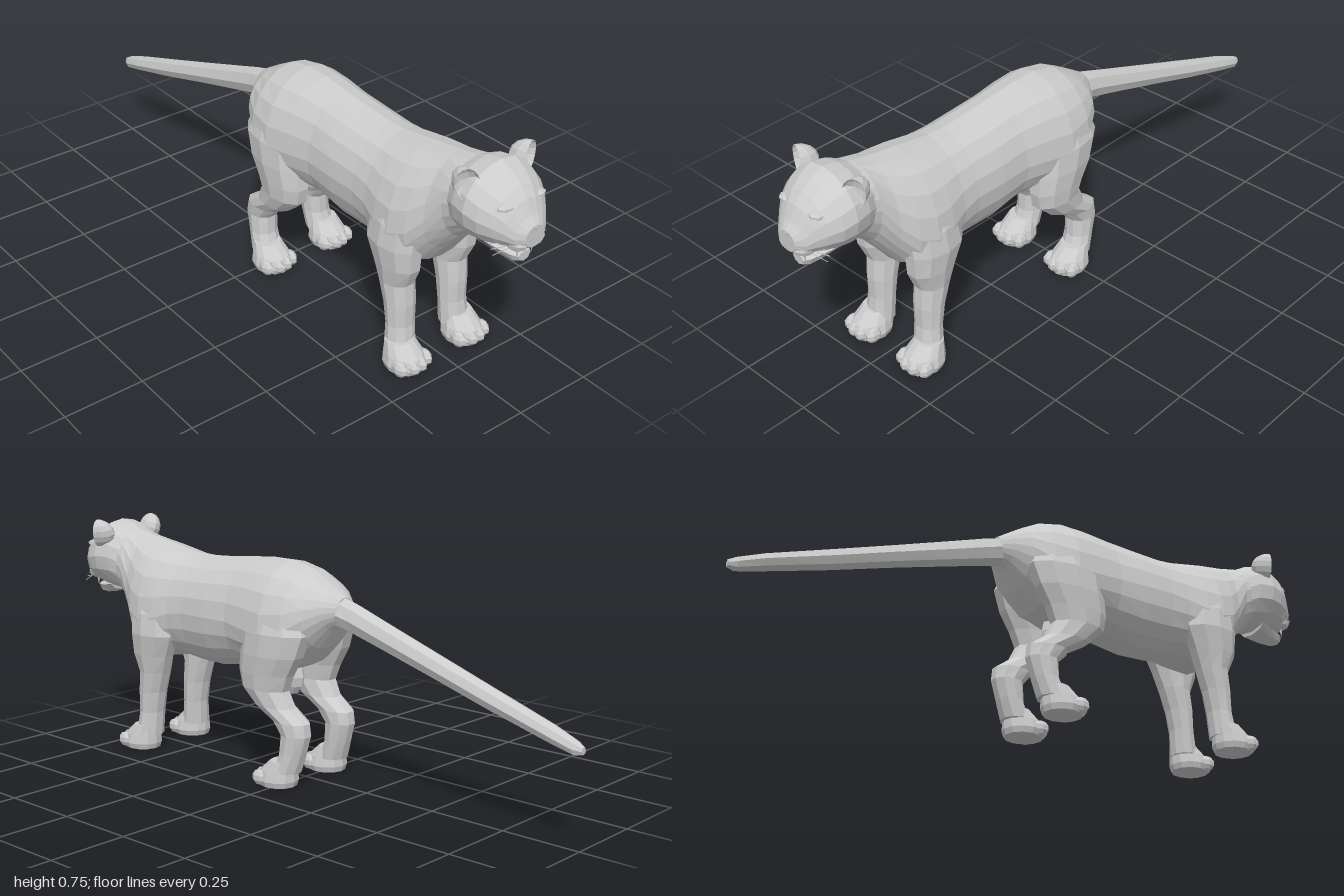
import * as THREE from 'three';

const grey = new THREE.MeshStandardMaterial({ color: 0xcccccc, flatShading: true });
const thin = new THREE.MeshStandardMaterial({ color: 0xcccccc, flatShading: true, side: THREE.DoubleSide });

function part(name, geometry, parent, material = grey) {
  const mesh = new THREE.Mesh(geometry, material);
  mesh.name = name;
  parent.add(mesh);
  return mesh;
}

// Skin over rings of equal point count, closed with a fan at each end
function loft(rings) {
  const n = rings[0].length, pos = [];
  const tri = (...pts) => pts.forEach(p => pos.push(p.x, p.y, p.z));
  for (let i = 0; i < rings.length - 1; i++) {
    for (let j = 0; j < n; j++) {
      const k = (j + 1) % n, A = rings[i], B = rings[i + 1];
      tri(A[j], A[k], B[k]);
      tri(A[j], B[k], B[j]);
    }
  }
  const middle = r => r.reduce((s, p) => s.add(p), new THREE.Vector3()).divideScalar(n);
  const first = rings[0], last = rings[rings.length - 1];
  const c0 = middle(first), c1 = middle(last);
  for (let j = 0; j < n; j++) {
    const k = (j + 1) % n;
    tri(c0, first[k], first[j]);
    tri(c1, last[j], last[k]);
  }
  const g = new THREE.BufferGeometry();
  g.setAttribute('position', new THREE.Float32BufferAttribute(pos, 3));
  g.computeVertexNormals();
  return g;
}

// Upright ring for parts running toward +z: [z, top, bottom, half width, height of widest point]
function zRing([z, top, bottom, w, mid], n) {
  return Array.from({ length: n }, (_, j) => {
    const a = (j / n) * Math.PI * 2, s = Math.sin(a);
    return new THREE.Vector3(w * Math.cos(a), mid + s * (s > 0 ? top - mid : mid - bottom), z);
  });
}

// Level ring for parts running downward: [y, z centre, z radius, x centre, x radius]
function yRing([y, cz, rz, cx, rx], n, side) {
  return Array.from({ length: n }, (_, j) => {
    const a = (j / n) * Math.PI * 2;
    return new THREE.Vector3(side * cx + rx * Math.cos(a), y, cz + rz * Math.sin(a));
  });
}

const TORSO = [
  [-0.16, 0.595, 0.52, 0.04, 0.555], [-0.13, 0.613, 0.49, 0.075, 0.55],
  [-0.09, 0.637, 0.43, 0.12, 0.53], [-0.03, 0.67, 0.37, 0.153, 0.49],
  [0.05, 0.688, 0.34, 0.165, 0.47], [0.13, 0.688, 0.335, 0.152, 0.48],
  [0.22, 0.68, 0.335, 0.137, 0.49], [0.32, 0.67, 0.315, 0.14, 0.49],
  [0.42, 0.664, 0.317, 0.138, 0.49], [0.48, 0.667, 0.325, 0.143, 0.48],
  [0.54, 0.677, 0.315, 0.158, 0.46], [0.6, 0.688, 0.31, 0.163, 0.45],
  [0.655, 0.697, 0.34, 0.148, 0.47], [0.7, 0.705, 0.4, 0.122, 0.52],
  [0.75, 0.715, 0.46, 0.106, 0.6], [0.81, 0.725, 0.51, 0.1, 0.62],
];
const HEAD = [
  [0.75, 0.71, 0.49, 0.095, 0.61], [0.8, 0.735, 0.507, 0.12, 0.63],
  [0.85, 0.745, 0.512, 0.13, 0.63], [0.89, 0.727, 0.518, 0.121, 0.62],
  [0.925, 0.702, 0.526, 0.1, 0.61], [0.95, 0.675, 0.533, 0.077, 0.595],
  [0.97, 0.635, 0.537, 0.058, 0.58], [0.988, 0.612, 0.548, 0.034, 0.58],
];
const JAW = [
  [0.85, 0.54, 0.5, 0.06, 0.525], [0.9, 0.53, 0.485, 0.046, 0.515],
  [0.94, 0.522, 0.48, 0.034, 0.51], [0.958, 0.518, 0.488, 0.022, 0.508],
];
const TAIL = [
  [-1, 0.298, 0.275, 0.01, 0.285], [-0.975, 0.312, 0.268, 0.022, 0.29],
  [-0.9, 0.342, 0.288, 0.03, 0.315], [-0.7, 0.41, 0.343, 0.034, 0.376],
  [-0.5, 0.478, 0.403, 0.037, 0.44], [-0.3, 0.547, 0.46, 0.039, 0.503],
  [-0.2, 0.582, 0.488, 0.041, 0.535], [-0.1, 0.61, 0.51, 0.05, 0.56],
];
const FRONT_LEG = [
  [0.53, 0.585, 0.07, 0.09, 0.05], [0.47, 0.58, 0.095, 0.1, 0.064], [0.4, 0.575, 0.098, 0.108, 0.063],
  [0.33, 0.587, 0.08, 0.105, 0.056], [0.27, 0.585, 0.055, 0.101, 0.05],
  [0.2, 0.599, 0.046, 0.1, 0.047], [0.13, 0.605, 0.038, 0.1, 0.045], [0.05, 0.613, 0.042, 0.105, 0.048],
];
const HIND_LEG = [
  [0.55, 0.03, 0.1, 0.09, 0.055], [0.48, 0.03, 0.13, 0.1, 0.068], [0.41, 0.045, 0.12, 0.107, 0.063],
  [0.35, 0.065, 0.105, 0.108, 0.057], [0.3, 0.07, 0.09, 0.107, 0.053],
  [0.25, 0.03, 0.075, 0.104, 0.049], [0.21, -0.033, 0.068, 0.102, 0.046],
  [0.17, -0.053, 0.052, 0.102, 0.044], [0.11, -0.043, 0.044, 0.104, 0.044], [0.05, -0.022, 0.045, 0.108, 0.048],
];
// Paw rings measured from the paw centre
const PAW = [[0.085, -0.025, 0.042, 0, 0.044], [0.05, -0.005, 0.062, 0, 0.056],
  [0.022, 0, 0.068, 0, 0.062], [0.004, 0, 0.062, 0, 0.056]];

function addLeg(parent, name, rings, pawX, pawZ, side) {
  const leg = new THREE.Group();
  leg.name = (side > 0 ? 'left' : 'right') + name;
  parent.add(leg);
  part('limb', loft(rings.map(r => yRing(r, 10, side))), leg);
  const paw = PAW.map(([y, z, rz, x, rx]) => yRing([y, pawZ + z, rz, pawX, rx], 12, side));
  part('paw', loft(paw), leg);
  for (let i = 0; i < 4; i++) {
    const t = i - 1.5;
    const toe = part('toe', new THREE.SphereGeometry(1, 7, 5), leg);
    toe.scale.set(0.019, 0.025, 0.03);
    toe.position.set(side * pawX + t * 0.031, 0.028, pawZ + 0.053 - Math.abs(t) * 0.013);
  }
}

// Cupped ear: the front half of a ball is folded back into a shallow bowl
function earGeometry() {
  const g = new THREE.SphereGeometry(1, 12, 8);
  const p = g.attributes.position;
  for (let i = 0; i < p.count; i++) if (p.getZ(i) > 0) p.setZ(i, -0.5 * p.getZ(i));
  g.computeVertexNormals();
  return g;
}

export function createModel() {
  const cat = new THREE.Group();
  cat.name = 'bigCat';

  part('torso', loft(TORSO.map(r => zRing(r, 20))), cat);
  part('tail', loft(TAIL.map(r => zRing(r, 8))), cat);

  const head = new THREE.Group();
  head.name = 'head';
  cat.add(head);
  part('skull', loft(HEAD.map(r => zRing(r, 16))), head);
  part('lowerJaw', loft(JAW.map(r => zRing(r, 8))), head);
  const nose = part('nose', new THREE.CylinderGeometry(0.026, 0.012, 0.03, 6), head);
  nose.position.set(0, 0.592, 0.976);
  nose.scale.z = 0.6;

  // Rounded bulge between the hind legs
  const bulge = part('underBulge', new THREE.SphereGeometry(1, 8, 6), cat);
  bulge.scale.set(0.03, 0.06, 0.05);
  bulge.position.set(0, 0.32, 0.06);

  for (const side of [1, -1]) {
    addLeg(cat, 'FrontLeg', FRONT_LEG, 0.113, 0.643, side);
    addLeg(cat, 'HindLeg', HIND_LEG, 0.113, 0.012, side);

    const ear = part('ear', earGeometry(), head);
    ear.scale.set(0.036, 0.049, 0.06);
    ear.position.set(side * 0.112, 0.705, 0.845);
    ear.rotation.set(0, side * 0.35, side * -0.3);

    // Muzzle pads, brows and upper fangs
    const pad = part('muzzlePad', new THREE.SphereGeometry(1, 8, 6), head);
    pad.scale.set(0.03, 0.025, 0.035);
    pad.position.set(side * 0.028, 0.557, 0.953);
    const brow = part('brow', new THREE.SphereGeometry(1, 7, 5), head);
    brow.scale.set(0.03, 0.012, 0.02);
    brow.position.set(side * 0.055, 0.66, 0.93);
    const fang = part('fang', new THREE.ConeGeometry(0.006, 0.035, 5), head);
    fang.position.set(side * 0.027, 0.522, 0.956);
    fang.rotation.x = Math.PI;

    // Whiskers
    for (let i = 0; i < 3; i++) {
      const whisker = new THREE.PlaneGeometry(0.05, 0.003);
      const mesh = part('whisker', whisker, head, thin);
      mesh.position.set(side * 0.075, 0.54 + i * 0.008, 0.945 - i * 0.008);
      mesh.rotation.set(0, side * 0.3, side * (i - 1) * 0.25);
    }
  }
  return cat;
}
